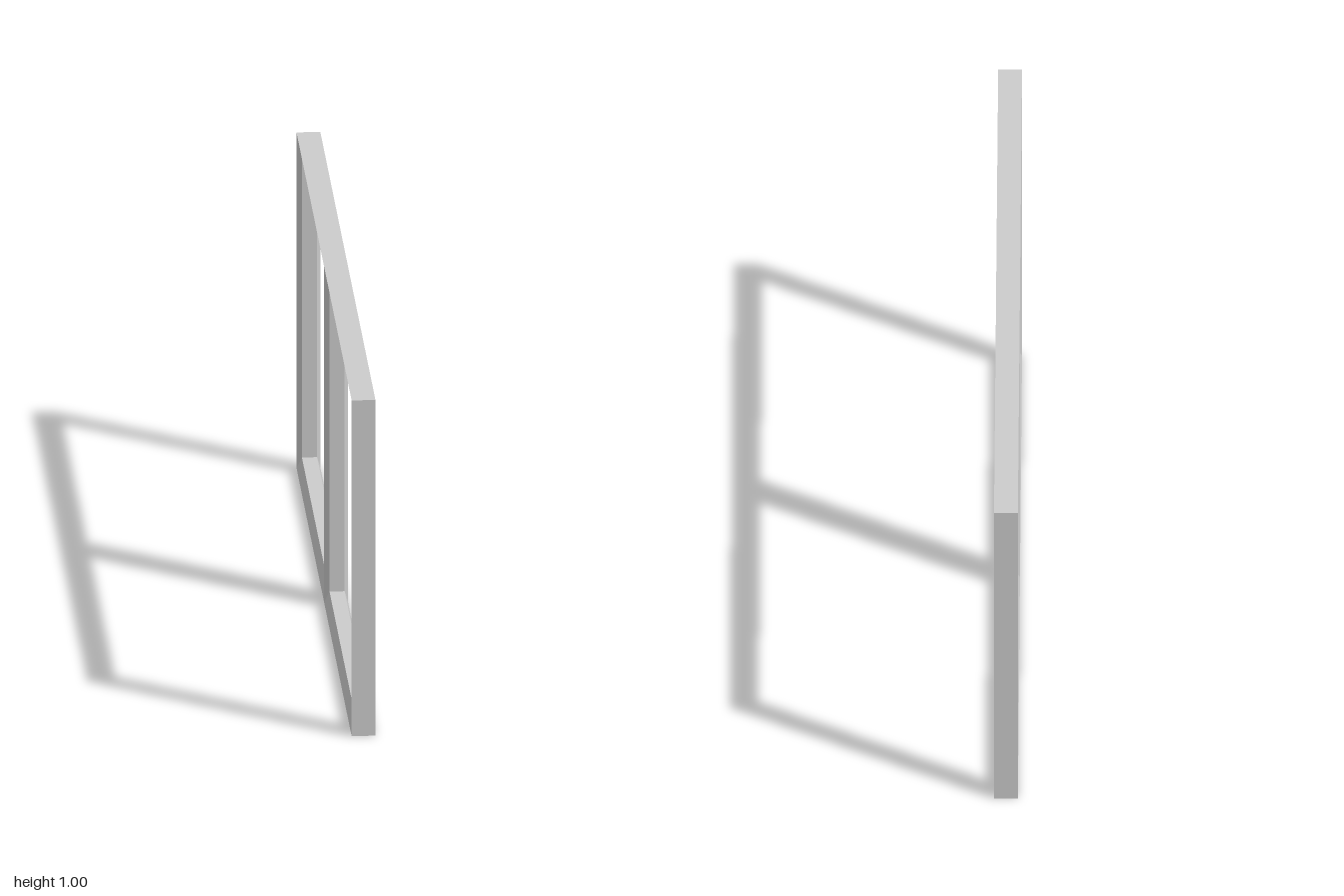
import * as THREE from 'three';

const HALF = 0.033;      // half thickness at the outer edge
const INNER_HALF = 0.021; // half thickness at the opening
const SIDE = 0.04, SILL = 0.047, HEAD = 0.035;

// Rectangle loop in the plane at x, anticlockwise seen from +x
function loop(x, y0, y1, zLow, zHigh) {
  return [[x, y0, zHigh], [x, y0, zLow], [x, y1, zLow], [x, y1, zHigh]];
}

// One mitred rail: side c of the four loops, sloping in towards the opening
function rail(rings, c, skipOuter) {
  const positions = [];
  const d = (c + 1) % 4;
  const count = skipOuter ? 3 : 4;
  for (let k = 0; k < count; k++) {
    const a = rings[k], b = rings[(k + 1) % 4];
    positions.push(...a[c], ...a[d], ...b[d], ...a[c], ...b[d], ...b[c]);
  }
  const geometry = new THREE.BufferGeometry();
  geometry.setAttribute('position', new THREE.Float32BufferAttribute(positions, 3));
  geometry.computeVertexNormals();
  return geometry;
}

export function createModel() {
  const group = new THREE.Group();
  group.name = 'doubleFrame';
  const material = new THREE.MeshStandardMaterial({ color: 0xcccccc, flatShading: true });

  // Two panes share the central post at z = 0
  for (const [paneName, zLow, zHigh] of [['frontPane', 0, 1], ['backPane', -1, 0]]) {
    const pane = new THREE.Group();
    pane.name = paneName;
    const outer = x => loop(x, 0, 1, zLow, zHigh);
    const inner = x => loop(x, SILL, 1 - HEAD, zLow + SIDE, zHigh - SIDE);
    const rings = [outer(HALF), inner(INNER_HALF), inner(-INNER_HALF), outer(-HALF)];
    const names = ['bottomRail', zLow === 0 ? 'centrePost' : 'endPost',
      'topRail', zHigh === 0 ? 'centrePost' : 'endPost'];
    names.forEach((name, c) => {
      const mesh = new THREE.Mesh(rail(rings, c, name === 'centrePost'), material);
      mesh.name = name;
      pane.add(mesh);
    });
    group.add(pane);
  }
  return group;
}
